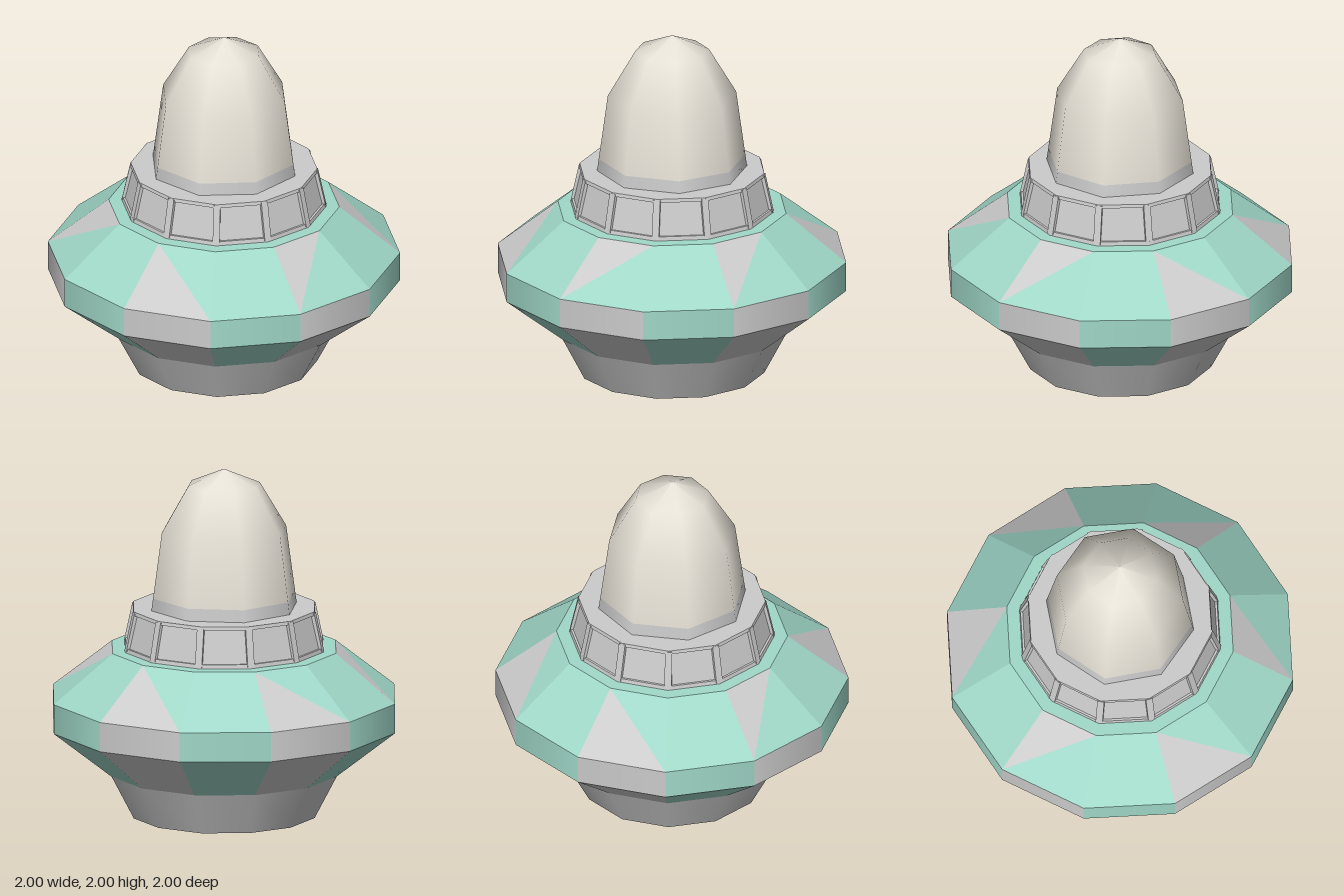
import * as THREE from 'three';

const SIDES = 12;
const STEP = (Math.PI * 2) / SIDES;

const grey = new THREE.MeshStandardMaterial({ color: 0xcccccc });
const teal = new THREE.MeshStandardMaterial({ color: 0xa0d8c8 });
const cream = new THREE.MeshStandardMaterial({ color: 0xe6e1d6 });
const flatGrey = new THREE.MeshStandardMaterial({ color: 0xcccccc, flatShading: true });

// Faceted ring or sector from a [radius, height] profile, listed bottom to top
function turned(profile, sides = SIDES, start = 0, length = Math.PI * 2) {
  const points = profile.map(([r, y]) => new THREE.Vector2(r, y));
  return new THREE.LatheGeometry(points, sides, start, length);
}

// Corner number i of the twelve-sided body
function corner(i, r, y) {
  return new THREE.Vector3(r * Math.sin(i * STEP), y, r * Math.cos(i * STEP));
}

function triangle(...corners) {
  const geometry = new THREE.BufferGeometry().setFromPoints(corners);
  geometry.computeVertexNormals();
  return geometry;
}

export function createModel() {
  const model = new THREE.Group();
  const add = (name, geometry, material, parent = model) => {
    const mesh = new THREE.Mesh(geometry, material);
    mesh.name = name;
    parent.add(mesh);
    return mesh;
  };

  // Foot with its closed underside
  add('foot', turned([[0.53, 0], [0.66, 0.25]]), grey);
  add('underside', turned([[0, 0], [0.53, 0]]), grey);

  // Hull: alternating coloured sectors
  const hull = new THREE.Group();
  hull.name = 'hull';
  model.add(hull);
  const baseUp = [4, 6, 10]; // sectors whose grey triangle stands on its base
  for (let i = 0; i < SIDES; i++) {
    const paint = i % 2 ? teal : grey;
    const start = i * STEP;
    add('lowerPanel', turned([[0.66, 0.25], [1, 0.52]], 1, start, STEP), paint, hull);
    add('rimPanel', turned([[1, 0.52], [1, 0.69]], 1, start, STEP), paint, hull);

    const b0 = corner(i, 1, 0.69);
    const b1 = corner(i + 1, 1, 0.69);
    const t0 = corner(i, 0.655, 0.965);
    const t1 = corner(i + 1, 0.655, 0.965);
    if (baseUp.includes(i)) {
      add('upperPanel', triangle(b0, b1, t0), grey, hull);
      add('upperPanel', triangle(b1, t1, t0), teal, hull);
    } else {
      add('upperPanel', triangle(b0, t1, t0), paint, hull);
      add('upperPanel', triangle(b0, b1, t1), teal, hull);
    }
  }
  add('deck', turned([[0.655, 0.965], [0.5, 0.97]]), teal);

  // Collar: recessed windows between rails and posts
  const collar = new THREE.Group();
  collar.name = 'collar';
  model.add(collar);
  add('windows', turned([[0.57, 0.965], [0.518, 1.19]]), flatGrey, collar);
  add('bottomRail', turned([[0.582, 0.965], [0.577, 0.99], [0.56, 0.99]]), flatGrey, collar);
  add('topRail', turned([[0.515, 1.18], [0.534, 1.18], [0.53, 1.2], [0.36, 1.2]]), flatGrey, collar);
  for (let i = 0; i < SIDES; i++) {
    const post = add('windowPost', new THREE.BoxGeometry(0.04, 0.225, 0.024), flatGrey, collar);
    post.position.copy(corner(i, 0.544, 1.082));
    post.rotation.set(-Math.atan2(0.05, 0.23), i * STEP, 0, 'YXZ');
  }

  // Eight-sided dome with a grey base band
  add('domeBase', turned([[0.428, 1.19], [0.417, 1.27]], 8), grey);
  add('dome', turned([[0.417, 1.27], [0.365, 1.65], [0.21, 1.91], [0, 2]], 8), cream);

  return model;
}
